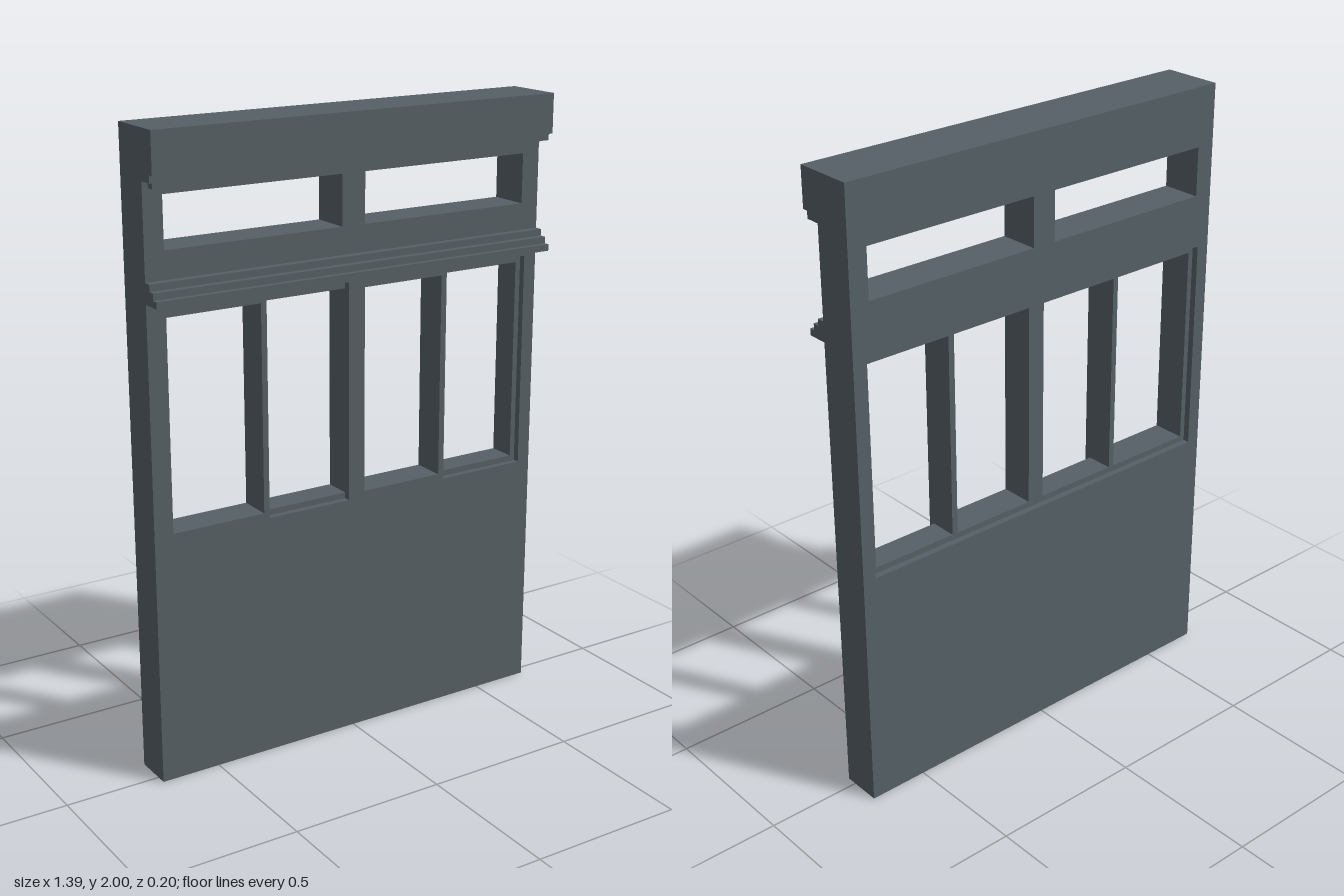
import * as THREE from 'three';

const HALF = 0.694, BACK = -0.098, WALL = 0.033, FRONT = 0.098, STEP = 0.021;

export function createModel() {
  const group = new THREE.Group();
  const slate = new THREE.MeshStandardMaterial({ color: 0x566066 });
  slate.name = 'slateGrey';

  const add = (name, geometry) => {
    const mesh = new THREE.Mesh(geometry, slate);
    mesh.name = name;
    group.add(mesh);
  };
  const rect = (T, [x0, x1, y0, y1]) => {
    const s = new T();
    s.moveTo(x0, y0);
    s.lineTo(x1, y0);
    s.lineTo(x1, y1);
    s.lineTo(x0, y1);
    s.closePath();
    return s;
  };
  // Wall slice between two depths, pierced by rectangular holes
  const layer = (name, z0, z1, holes) => {
    const shape = rect(THREE.Shape, [-HALF, HALF, 0, 2]);
    shape.holes = holes.map((h) => rect(THREE.Path, h));
    const g = new THREE.ExtrudeGeometry(shape, { depth: z1 - z0, bevelEnabled: false });
    add(name, g.translate(0, 0, z0));
  };
  // Horizontal strip standing out from the wall face
  const strip = (name, half, y0, y1, z1) => {
    const g = new THREE.BoxGeometry(half * 2, y1 - y0, z1 - WALL);
    add(name, g.translate(0, (y0 + y1) / 2, (z1 + WALL) / 2));
  };

  // Openings: two transom lights above, four sash openings below
  const transoms = [[-0.632, -0.04, 1.652, 1.81], [0.04, 0.632, 1.652, 1.81]];
  const low = 0.803, high = 1.458, lowStep = 0.784, highStep = 1.481;
  const panes = [[-0.632, -0.323], [-0.304, -0.018], [0.04, 0.325], [0.345, 0.632]];
  const through = panes.map(([a, b]) => [a, b, low, high]);
  const rebated = [
    through[0],
    [-0.304, -0.018, lowStep, highStep],
    through[2],
    [0.345, 0.65, lowStep, highStep],
  ];
  layer('wallFront', WALL - STEP, WALL, [...transoms, ...rebated]);
  layer('wallCore', BACK + STEP, WALL - STEP, [...transoms, ...through]);
  layer('wallBack', BACK, BACK + STEP, [...transoms, [-0.65, 0.65, lowStep, highStep]]);

  // Stepped cornice at the top
  strip('cornice', HALF, 1.875, 2, FRONT);
  strip('corniceStep', HALF, 1.852, 1.875, 0.08);
  strip('corniceLowerStep', 0.675, 1.831, 1.852, 0.058);

  // Stepped ledge between transoms and sashes
  strip('ledge', HALF, 1.504, 1.525, FRONT);
  strip('ledgeStep', HALF, 1.525, 1.546, 0.08);
  strip('ledgeUpperStep', HALF, 1.546, 1.567, 0.058);

  return group;
}
